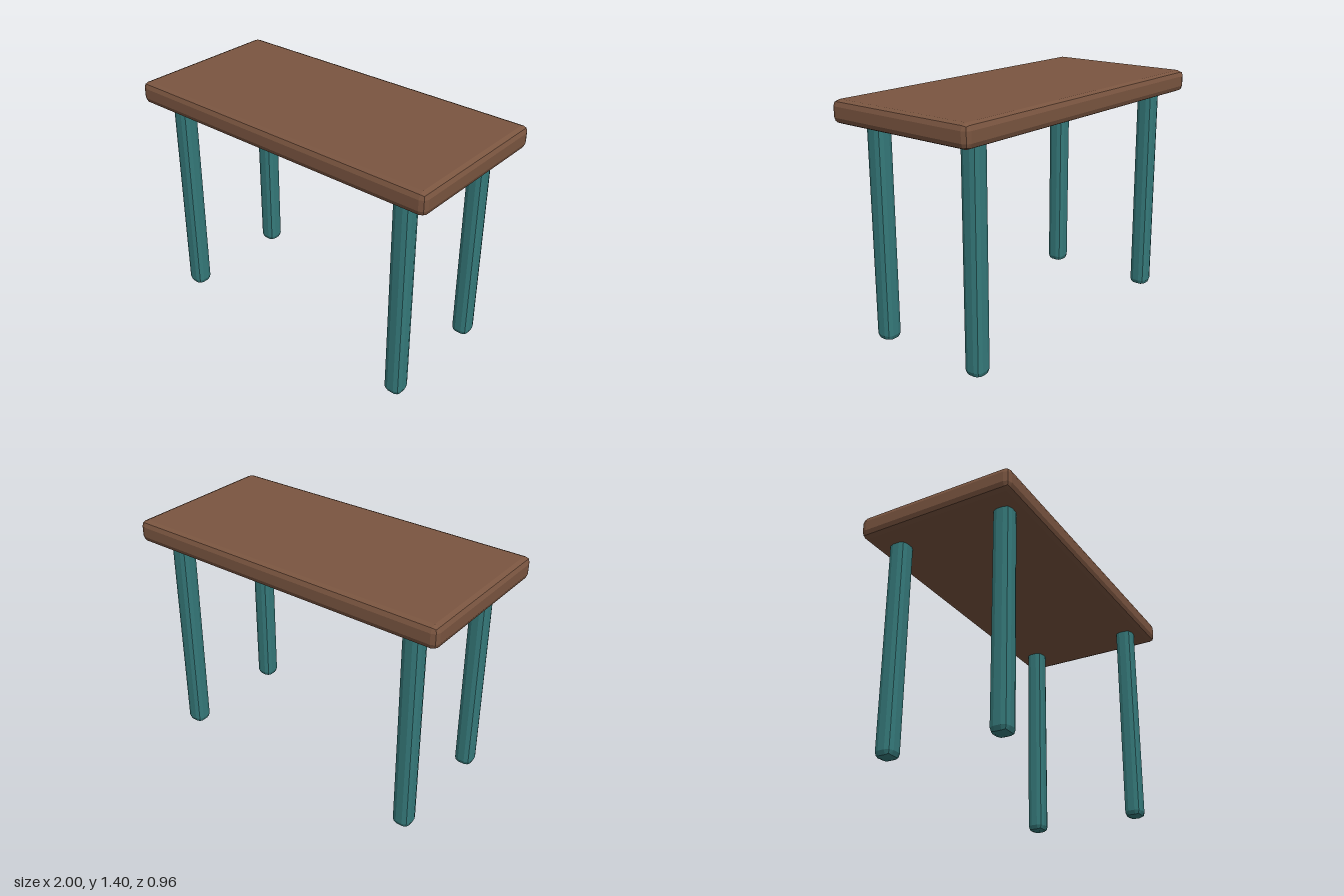
import * as THREE from 'three';
import { RoundedBoxGeometry } from 'three/addons/geometries/RoundedBoxGeometry.js';

const wood = new THREE.MeshStandardMaterial({ color: 0x7a5540, flatShading: true });
const teal = new THREE.MeshStandardMaterial({ color: 0x35797a, flatShading: true });

// Box with softly faceted edges, placed by its centre
function softBox(name, material, size, radius, position) {
  const mesh = new THREE.Mesh(new RoundedBoxGeometry(...size, 1, radius), material);
  mesh.name = name;
  mesh.position.set(...position);
  return mesh;
}

export function createModel() {
  const table = new THREE.Group();
  table.name = 'table';

  // Wide slab top
  table.add(softBox('tabletop', wood, [2, 0.13, 0.96], 0.035, [0, 1.335, 0]));

  // Four straight legs, running slightly up into the top
  const legHeight = 1.31;
  for (const [xName, x] of [['Left', 0.8], ['Right', -0.8]]) {
    for (const [zName, z] of [['front', 0.34], ['back', -0.34]]) {
      table.add(softBox(`${zName}${xName}Leg`, teal, [0.11, legHeight, 0.11], 0.035, [x, legHeight / 2, z]));
    }
  }
  return table;
}
